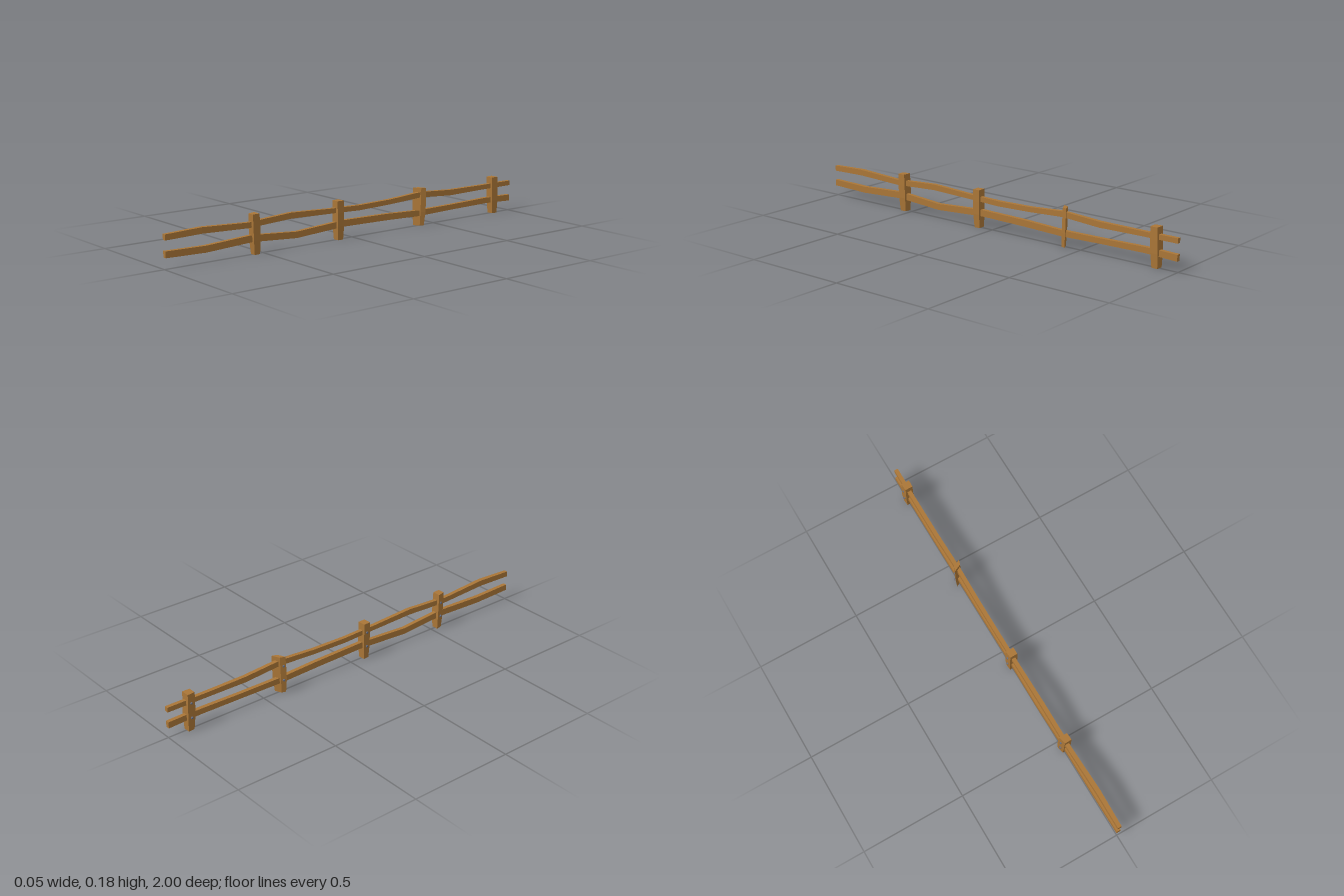
import * as THREE from 'three';

// Four-sided beam lofted through rings of four corners, with capped ends
function loft(rings) {
  const pos = [];
  const quad = (a, b, c, d) => pos.push(...a, ...b, ...c, ...a, ...c, ...d);
  for (let i = 0; i < rings.length - 1; i++) {
    const r = rings[i], s = rings[i + 1];
    for (let k = 0; k < 4; k++) {
      const n = (k + 1) % 4;
      quad(r[k], r[n], s[n], s[k]);
    }
  }
  const a = rings[0], b = rings[rings.length - 1];
  quad(a[3], a[2], a[1], a[0]);
  quad(b[0], b[1], b[2], b[3]);
  const g = new THREE.BufferGeometry();
  g.setAttribute('position', new THREE.Float32BufferAttribute(pos, 3));
  g.computeVertexNormals();
  return g;
}

// Rail ring, counter-clockwise from the front: z, bottom y, top y, centre x, width
const railRing = ([z, y0, y1, x, w]) => [
  [x - w / 2, y0, z], [x + w / 2, y0, z], [x + w / 2, y1, z], [x - w / 2, y1, z],
];

export function createModel() {
  const wood = new THREE.MeshStandardMaterial({ color: 0xaa7637, flatShading: true });
  wood.name = 'wood';
  const iron = new THREE.MeshStandardMaterial({ color: 0x666b7c, flatShading: true });
  iron.name = 'iron';

  const group = new THREE.Group();
  group.name = 'fence';
  const add = (geometry, material, name, parent = group) => {
    const m = new THREE.Mesh(geometry, material);
    m.name = name;
    parent.add(m);
    return m;
  };

  // Wavy rails running along z
  const upper = [
    [-1, 0.127, 0.150, 0.001, 0.018], [-0.8, 0.126, 0.149, 0, 0.019],
    [-0.6, 0.123, 0.150, 0, 0.019], [-0.41, 0.136, 0.162, 0.001, 0.019],
    [-0.22, 0.126, 0.149, 0, 0.019], [-0.04, 0.121, 0.145, 0, 0.019],
    [0.14, 0.127, 0.150, 0, 0.018], [0.35, 0.133, 0.160, 0, 0.019],
    [0.58, 0.121, 0.146, 0.001, 0.019], [0.82, 0.131, 0.159, 0.005, 0.021],
    [1, 0.126, 0.152, 0.003, 0.018],
  ];
  const lower = [
    [-1, 0.049, 0.079, 0.001, 0.019], [-0.84, 0.055, 0.082, 0, 0.019],
    [-0.62, 0.052, 0.077, 0, 0.019], [-0.4, 0.047, 0.075, 0.001, 0.019],
    [-0.2, 0.053, 0.083, 0, 0.019], [0.05, 0.057, 0.087, 0, 0.019],
    [0.32, 0.041, 0.070, 0, 0.019], [0.56, 0.057, 0.088, 0.001, 0.019],
    [0.8, 0.046, 0.076, 0.004, 0.020], [1, 0.051, 0.080, 0.004, 0.019],
  ];
  add(loft(upper.map(railRing)), wood, 'upperRail');
  add(loft(lower.map(railRing)), wood, 'lowerRail');

  // Crooked posts: z, lean along z, then x and z of the four corners
  const posts = [
    [0.543, 0.003, [[-0.012, 0.019], [0.022, 0.018], [0.020, -0.018], [-0.021, -0.018]]],
    [0.08, 0.001, [[-0.017, 0.018], [0.020, 0.017], [0.020, -0.018], [-0.020, -0.017]]],
    [-0.41, -0.003, [[-0.023, 0.021], [0.014, 0.003], [0.022, -0.021], [-0.015, -0.004]]],
    [-0.89, 0.003, [[-0.018, 0.019], [0.019, 0.018], [0.020, -0.018], [-0.021, -0.018]]],
  ];
  // Height and girth of the rings up a post
  const girths = [[0, 0.82], [0.065, 1.03], [0.125, 1.04], [0.181, 1]];
  for (const [z, lean, corners] of posts) {
    const post = new THREE.Group();
    post.name = 'post';
    post.position.z = z;
    group.add(post);
    const rings = girths.map(([y, s]) =>
      corners.map(([u, v]) => [u * s, y, v * s + lean * (y / 0.09 - 1)]));
    add(loft(rings), wood, 'postBeam', post);

    // Nail heads on the -x face
    const [front, , , back] = corners;
    const turn = Math.atan2(front[0] - back[0], front[1] - back[1]);
    for (const y of [0.064, 0.135]) {
      const nail = add(new THREE.CylinderGeometry(0.0045, 0.0065, 0.006, 8), iron, 'nail', post);
      nail.rotation.set(0, turn, Math.PI / 2);
      nail.position.set((front[0] + back[0]) / 2 * 1.04 - 0.002, y, (front[1] + back[1]) / 2);
    }
  }
  return group;
}
